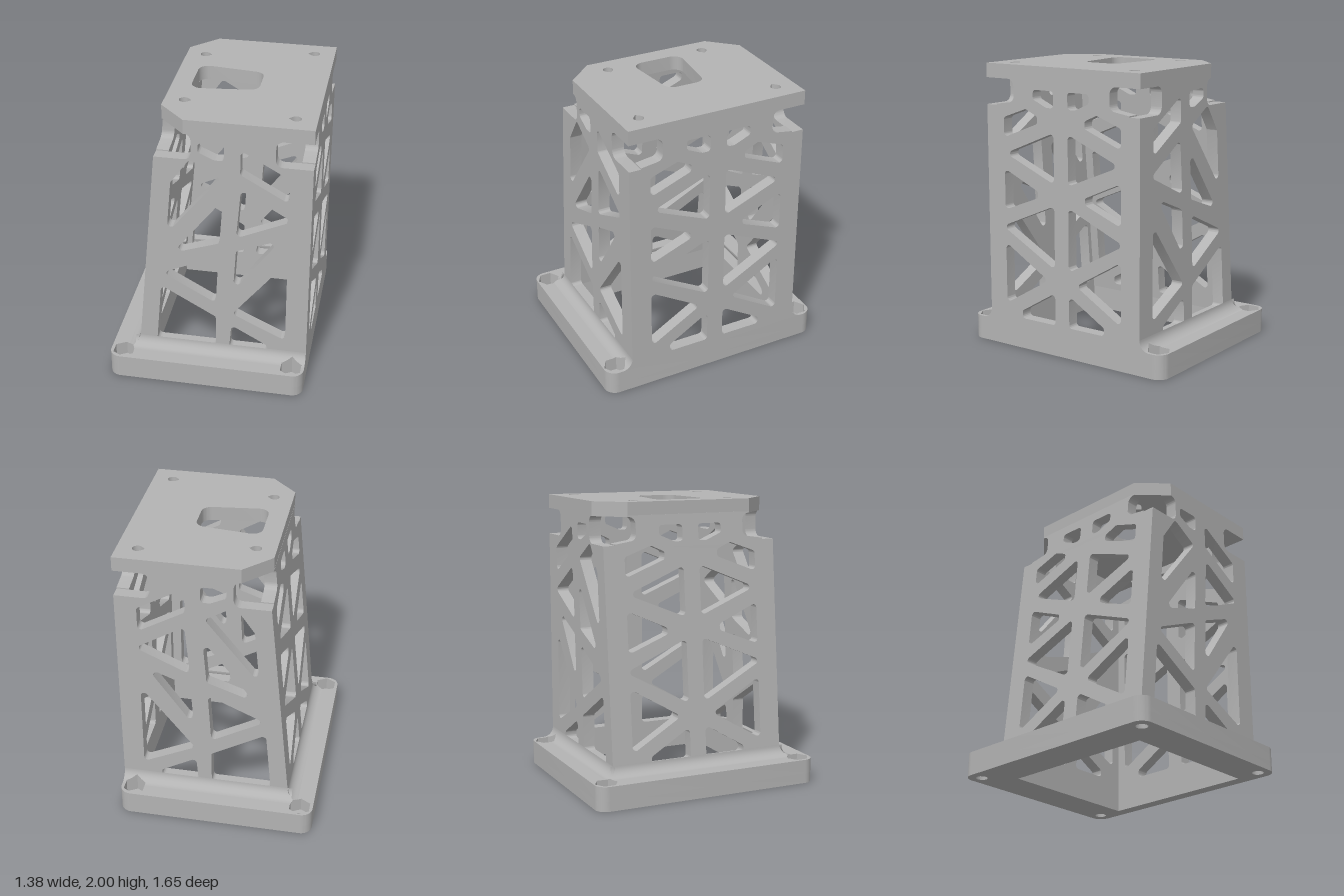
import * as THREE from 'three';
import { toCreasedNormals } from 'three/addons/utils/BufferGeometryUtils.js';

const grey = new THREE.MeshStandardMaterial({ color: 0xb3b3b3, side: THREE.DoubleSide });
grey.name = 'grey';

const BASE = 0.17, TOP = 1.9, WALL = 0.085, ZO = 0.645, ZI = 0.56, XR = 0.69;
const slopeX = y => -0.502 + 0.0925 * (y - BASE); // leaning outer face on the -x side

// Trace a polygon of [x, y, cornerRadius] with true rounded corners
function trace(path, pts, defR = 0) {
  const rad = p => p[2] ?? defR;
  pts.forEach((p, i) => {
    const a = pts[(i + pts.length - 1) % pts.length], b = pts[(i + 1) % pts.length];
    const P = new THREE.Vector2(p[0], p[1]);
    const u = new THREE.Vector2(a[0], a[1]).sub(P), v = new THREE.Vector2(b[0], b[1]).sub(P);
    const lu = u.length() * (rad(a) ? 0.48 : 1), lv = v.length() * (rad(b) ? 0.48 : 1);
    u.normalize(); v.normalize();
    if (!rad(p)) return i ? path.lineTo(P.x, P.y) : path.moveTo(P.x, P.y);
    const half = Math.acos(THREE.MathUtils.clamp(u.dot(v), -1, 1)) / 2;
    const t = Math.min(rad(p) / Math.tan(half), lu, lv), r = t * Math.tan(half);
    const c = P.clone().add(u.clone().add(v).normalize().multiplyScalar(r / Math.sin(half)));
    const s = P.clone().addScaledVector(u, t).sub(c), e = P.clone().addScaledVector(v, t).sub(c);
    path.absarc(c.x, c.y, r, s.angle(), e.angle(), u.cross(v) > 0);
  });
  return path;
}
const rounded = (pts, r) => trace(new THREE.Path(), pts, r);

function circle(x, y, r) {
  const p = new THREE.Path();
  p.absarc(x, y, r, 0, Math.PI * 2);
  return p;
}

function extrude(shape, depth) {
  return new THREE.ExtrudeGeometry(shape, { depth, bevelEnabled: false, curveSegments: 6 });
}

function addMesh(group, name, geo) {
  const m = new THREE.Mesh(toCreasedNormals(geo, 0.6), grey);
  m.name = name;
  group.add(m);
  return m;
}

// Horizontal slab: shape drawn in (x, z), from y0 up
function slab(shape, y0, h) {
  return extrude(shape, h).rotateX(Math.PI / 2).translate(0, y0 + h, 0);
}

// Truss openings of the front and back walls (x, y)
const frontHoles = [
  [[-0.065, 1.84], [0.11, 1.84], [0.11, 1.725], [0.045, 1.725], [-0.065, 1.775]],
  [[0.215, 1.815], [0.54, 1.63], [0.54, 1.45], [0.215, 1.635]],
  [[-0.12, 1.715], [0.085, 1.595], [-0.285, 1.13], [-0.25, 1.53]],
  [[0.22, 1.52], [0.565, 1.315], [0.19, 1.145]],
  [[0.1, 1.43], [0.077, 1.09], [-0.25, 0.975]],
  [[0.49, 1.16], [0.19, 1.04], [0.17, 0.71]],
  [[0.07, 0.98], [-0.325, 0.805], [0.05, 0.595]],
  [[0.54, 0.99], [0.54, 0.335], [0.165, 0.515]],
  [[-0.335, 0.695], [0.05, 0.475], [0.05, 0.22], [-0.375, 0.22]],
  [[0.16, 0.415], [0.41, 0.275], [0.415, 0.22], [0.145, 0.22]],
];
// Half of the openings of the side walls (z, y), mirrored over z
const sideHoles = [
  [[0.06, 1.84], [0.235, 1.84], [0.235, 1.775], [0.12, 1.725], [0.06, 1.725]],
  [[0.3, 1.705], [0.2, 1.66], [0.2, 1.61], [0.495, 1.495], [0.495, 1.635]],
  [[0.06, 1.56], [0.06, 1.21], [0.485, 1.385]],
  [[0.495, 1.275], [0.2, 1.145], [0.2, 1.1], [0.495, 0.985]],
  [[0.06, 1.06], [0.06, 0.615], [0.52, 0.865]],
  [[0.495, 0.75], [0.12, 0.53], [0.495, 0.31]],
  [[0.06, 0.45], [0.06, 0.22], [0.355, 0.22], [0.355, 0.275]],
];

function frontWallGeometry() {
  const n = 1.714;
  const s = trace(new THREE.Shape(), [
    [slopeX(BASE), BASE], [XR, BASE], [XR, n], [0.445, n, 0.05], [0.445, TOP, 0.05], [0.5, TOP], [0.5, TOP + 0.01],
    [-0.158, TOP + 0.01], [-0.158, TOP], [-0.11, TOP, 0.045], [-0.11, n, 0.05], [slopeX(n), n],
  ]);
  frontHoles.forEach(h => s.holes.push(rounded(h, 0.025)));
  return extrude(s, WALL);
}

function sideWallGeometry() {
  const half = [[ZI, BASE], [ZI, 1.722], [0.405, 1.745, 0.045], [0.405, TOP, 0.05], [0.458, TOP], [0.458, TOP + 0.01]];
  const mirror = pts => pts.map(([z, y, r]) => [-z, y, r]);
  const s = trace(new THREE.Shape(), [...half, ...mirror(half).reverse()]);
  sideHoles.forEach(h => s.holes.push(rounded(h, 0.025), rounded(mirror(h), 0.025)));
  return extrude(s, WALL).rotateY(-Math.PI / 2); // spans x from -WALL to 0
}

// Concave fillet strip: sections are [along(d), depth limit]
function filletGeometry(sections, place) {
  const R = 0.075, N = 10, pos = [];
  const height = d => BASE + R - Math.sqrt(Math.max(0, R * R - (R - d) ** 2));
  const rows = sections.map(([along, max]) => {
    const row = [];
    for (let i = 0; i <= N + 1; i++) {
      const d = Math.min(max, R - R * Math.cos(Math.min(i / N, 1) * Math.PI / 2));
      row.push(place(along(d), i > N ? BASE : height(d), d));
    }
    return row;
  });
  // close both ends toward the foot of the wall
  [0, rows.length - 1].forEach((k, e) => {
    const foot = place(sections[k][0](0), BASE, 0);
    const cap = rows[k].map(() => foot);
    e ? rows.push(cap) : null;
  });
  for (let k = 0; k + 1 < rows.length; k++) {
    for (let i = 0; i <= N; i++) {
      const a = rows[k][i], b = rows[k + 1][i], c = rows[k + 1][i + 1], d = rows[k][i + 1];
      pos.push(...a, ...b, ...c, ...a, ...c, ...d);
    }
  }
  const g = new THREE.BufferGeometry();
  g.setAttribute('position', new THREE.Float32BufferAttribute(pos, 3));
  g.computeVertexNormals();
  return g;
}

// Teardrop screw hole, its tip pointing along dir
function teardrop(x, z, dir) {
  const p = new THREE.Path(), r = 0.035, q = Math.PI / 4;
  if (dir > 0) p.absarc(x, z, r, q, 2 * Math.PI - q);
  else p.absarc(x, z, r, -Math.PI + q, Math.PI - q);
  p.lineTo(x + dir * r * 1.4, z);
  return p;
}

export function createModel() {
  const model = new THREE.Group();
  model.name = 'trussPedestal';

  // Base frame: bolt holes below, hexagonal nut pockets above
  const baseShape = nut => {
    const s = trace(new THREE.Shape(), [[-0.69, -0.825], [0.69, -0.825], [0.69, 0.825], [-0.69, 0.825]], 0.08);
    s.holes.push(rounded([[-0.42, -ZI], [0.605, -ZI], [0.605, ZI], [-0.42, ZI]]));
    for (const x of [-0.597, 0.597]) for (const z of [-0.735, 0.735]) {
      const hex = [0, 1, 2, 3, 4, 5].map(i => [x + 0.081 * Math.sin(i * Math.PI / 3), z + 0.081 * Math.cos(i * Math.PI / 3)]);
      s.holes.push(nut ? rounded(hex) : circle(x, z, 0.041));
    }
    return s;
  };
  addMesh(model, 'baseLower', slab(baseShape(false), 0, 0.07));
  addMesh(model, 'baseUpper', slab(baseShape(true), 0.07, BASE - 0.07));

  // Truss walls
  addMesh(model, 'frontWall', frontWallGeometry()).position.z = ZI;
  addMesh(model, 'backWall', frontWallGeometry()).position.z = -ZO;
  addMesh(model, 'uprightSideWall', sideWallGeometry()).position.x = XR;
  const leaning = sideWallGeometry(), p = leaning.attributes.position;
  for (let i = 0; i < p.count; i++) p.setX(i, p.getX(i) + WALL + slopeX(p.getY(i)));
  addMesh(model, 'leaningSideWall', leaning);

  // Fillets between walls and base, cut around the nut pockets
  const at = v => () => v, full = 0.075;
  const pocket = [0.07, 0.035, 0, -0.035, -0.07].map(o => [at(0.597 + o), 0.01 + 0.577 * Math.abs(o)]);
  const long = [[d => -0.5 - d, 0.043], [at(-0.53), full], [at(0.527), full],
    ...pocket.reverse(), [at(0.667), full], [at(XR), full]];
  for (const side of [1, -1]) {
    addMesh(model, side > 0 ? 'frontFillet' : 'backFillet',
      filletGeometry(long, (x, y, d) => [x, y, side * (ZO + d)]));
  }
  const short = [[d => -ZO - d, 0.043], [at(-0.665), full], [at(0.665), full], [d => ZO + d, 0.043]];
  addMesh(model, 'sideFillet', filletGeometry(short, (z, y, d) => [-0.5 - d, y, z]));

  // Top plate with clipped corners, window and screw holes
  const plate = trace(new THREE.Shape(), [[-0.16, -ZO], [XR, -ZO], [XR, ZO], [-0.16, ZO], [-0.34, 0.46], [-0.34, -0.46]]);
  plate.holes.push(rounded([[-0.208, -0.185], [0.25, -0.135], [0.25, 0.135], [-0.208, 0.185]], 0.07));
  for (const s of [1, -1]) plate.holes.push(teardrop(-0.208, s * 0.363, 1), teardrop(0.55, s * 0.503, -1));
  addMesh(model, 'topPlate', slab(plate, TOP, 0.1));

  return model;
}
